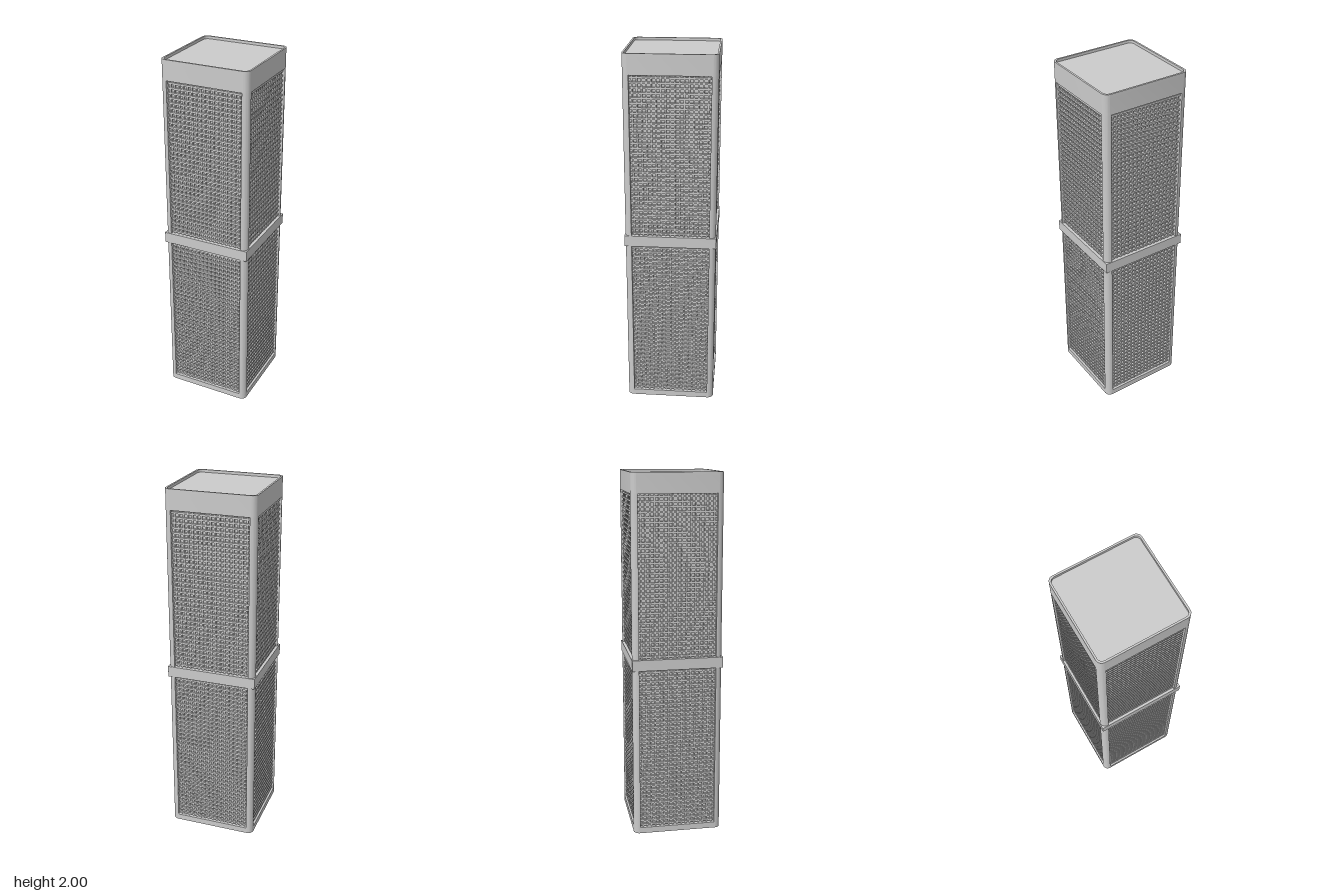
import * as THREE from 'three';
import { mergeGeometries, toCreasedNormals } from 'three/addons/utils/BufferGeometryUtils.js';

const material = new THREE.MeshStandardMaterial({ color: 0xcccccc });

function roundedSquare(half, r, Type = THREE.Shape) {
  const s = new Type();
  const c = half - r;
  s.moveTo(-c, -half).lineTo(c, -half);
  s.absarc(c, -c, r, -Math.PI / 2, 0);
  s.absarc(c, c, r, 0, Math.PI / 2);
  s.absarc(-c, c, r, Math.PI / 2, Math.PI);
  s.absarc(-c, -c, r, Math.PI, Math.PI * 1.5);
  return s;
}

// Extrude a plan shape upward from y0 to y1
function rise(shape, y0, y1) {
  const g = new THREE.ExtrudeGeometry(shape, { depth: y1 - y0, bevelEnabled: false, curveSegments: 8 });
  g.rotateX(-Math.PI / 2).translate(0, y0, 0);
  return toCreasedNormals(g, 0.6);
}

function box(w, h, d, x, y, z) {
  return new THREE.BoxGeometry(w, h, d).translate(x, y, z);
}

export function createModel() {
  const tower = new THREE.Group();
  tower.name = 'tower';
  const add = (name, geometry, parent = tower) => {
    const mesh = new THREE.Mesh(geometry, material);
    mesh.name = name;
    parent.add(mesh);
  };
  const ring = (half, r, innerHalf, innerR, y0, y1) => {
    const s = roundedSquare(half, r);
    s.holes.push(roundedSquare(innerHalf, innerR, THREE.Path));
    return rise(s, y0, y1);
  };

  const HALF = 0.247, R = 0.032, INNER = 0.212;

  // Base frame, square belt and roof cap with a low parapet
  add('baseFrame', ring(HALF, R, INNER, 0.004, 0, 0.034));
  add('belt', ring(0.25, 0.001, INNER, 0.004, 0.95, 1.01));
  add('cap', rise(roundedSquare(HALF, R), 1.89, 1.985));
  add('parapet', ring(HALF, R, 0.237, 0.026, 1.985, 2));

  // Corner post plan, rounded on its outer edge
  const post = new THREE.Shape();
  post.moveTo(INNER, INNER).lineTo(HALF, INNER).lineTo(HALF, HALF - R);
  post.absarc(HALF - R, HALF - R, R, 0, Math.PI / 2);
  post.lineTo(INNER, HALF);
  const postGeometry = rise(post, 0, 1.9);

  // Window lattice of one storey block: wall, floor slats and mullions
  const lattice = (y0, y1) => {
    const h = y1 - y0, mid = (y0 + y1) / 2;
    const slats = [], mullions = [];
    const rows = Math.round(h / 0.0265);
    for (let i = 0; i < rows; i++) {
      slats.push(box(0.42, 0.01, 0.034, 0, y0 + (i + 0.5) * h / rows, 0.221));
    }
    const columns = 17;
    for (let i = 0; i < columns; i++) {
      mullions.push(box(0.008, h, 0.026, (i - (columns - 1) / 2) * 0.0245, mid, 0.221));
    }
    return {
      wall: box(0.43, h, 0.006, 0, mid, 0.221),
      slats: mergeGeometries(slats),
      mullions: mergeGeometries(mullions),
    };
  };
  const blocks = { lower: lattice(0.034, 0.95), upper: lattice(1.01, 1.89) };

  // Repeat the facade and its corner post on all four sides
  ['front', 'left', 'back', 'right'].forEach((side, i) => {
    const facade = new THREE.Group();
    facade.name = side + 'Facade';
    facade.rotation.y = i * Math.PI / 2;
    add('cornerPost', postGeometry, facade);
    for (const [level, parts] of Object.entries(blocks)) {
      add(level + 'Wall', parts.wall, facade);
      add(level + 'FloorSlats', parts.slats, facade);
      add(level + 'Mullions', parts.mullions, facade);
    }
    tower.add(facade);
  });

  return tower;
}
